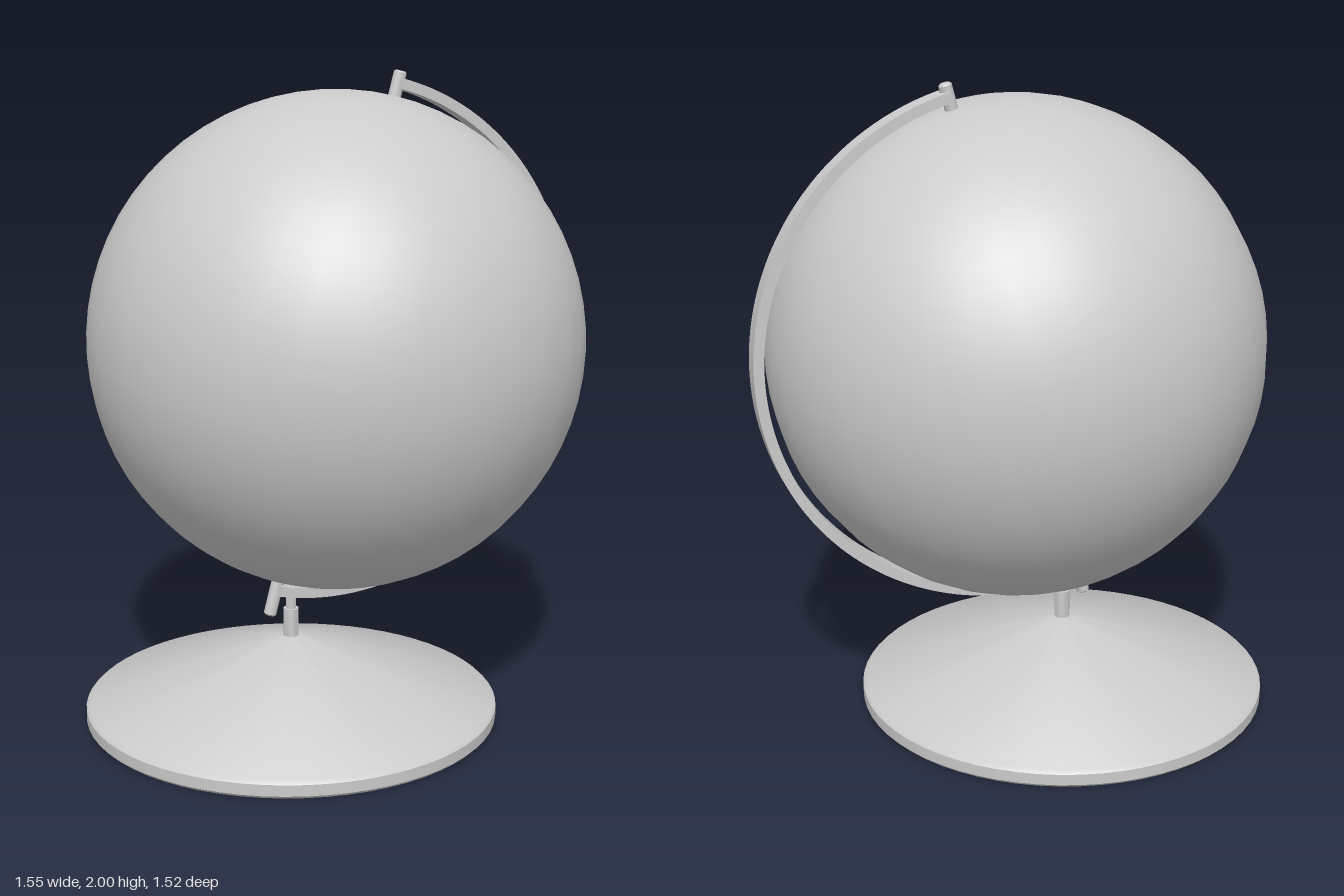
import * as THREE from 'three';
import { toCreasedNormals } from 'three/addons/utils/BufferGeometryUtils.js';

const TILT = THREE.MathUtils.degToRad(15);
const TURN = THREE.MathUtils.degToRad(24);
const RADIUS = 0.76;

export function createModel() {
  const material = new THREE.MeshStandardMaterial({ color: 0xcccccc });
  const model = new THREE.Group();

  const add = (parent, name, geometry, crease = 0.6) => {
    const mesh = new THREE.Mesh(toCreasedNormals(geometry, crease), material);
    mesh.name = name;
    parent.add(mesh);
    return mesh;
  };
  const lathe = (points, segments) =>
    new THREE.LatheGeometry(points.map(([r, y]) => new THREE.Vector2(r, y)), segments);

  // Stand: shallow cone with a bevelled rim, and a stepped post
  const stand = new THREE.Group();
  stand.name = 'stand';
  stand.position.set(-0.13, 0, -0.063);
  model.add(stand);
  add(stand, 'base', lathe([
    [0, 0], [0.635, 0], [0.645, 0.01], [0.645, 0.045], [0.635, 0.055], [0.024, 0.256], [0, 0.256],
  ], 64), 0.5);
  add(stand, 'post', lathe([
    [0, 0.24], [0.024, 0.24], [0.024, 0.345], [0.016, 0.345], [0.016, 0.395], [0, 0.395],
  ], 24));

  // Globe assembly, turned so that the arm swings toward the front left
  const assembly = new THREE.Group();
  assembly.name = 'globeAssembly';
  assembly.position.set(0.013, 1.187, 0);
  assembly.rotation.y = -TURN;
  model.add(assembly);

  // Arm: half ring with a flat rectangular section
  const start = -Math.PI / 2 - TILT, end = Math.PI / 2 - TILT;
  const ring = new THREE.Shape();
  ring.absarc(0, 0, 0.815, start, end, false);
  ring.absarc(0, 0, 0.783, end, start, true);
  const armGeometry = new THREE.ExtrudeGeometry(ring, { depth: 0.065, bevelEnabled: false, curveSegments: 48 });
  armGeometry.translate(0, 0, -0.0325);
  add(assembly, 'arm', armGeometry);

  // Globe and its two pivot pins on the tilted axis
  const axis = new THREE.Group();
  axis.name = 'tiltedAxis';
  axis.rotation.z = -TILT;
  assembly.add(axis);
  add(axis, 'globe', new THREE.SphereGeometry(RADIUS, 32, 32), 1);
  for (const [name, from, to] of [['topPin', 0.74, 0.837], ['bottomPin', -0.885, -0.74]]) {
    const bevel = 0.005;
    add(axis, name, lathe([
      [0, from], [0.02 - bevel, from], [0.02, from + bevel],
      [0.02, to - bevel], [0.02 - bevel, to], [0, to],
    ], 20));
  }

  return model;
}
